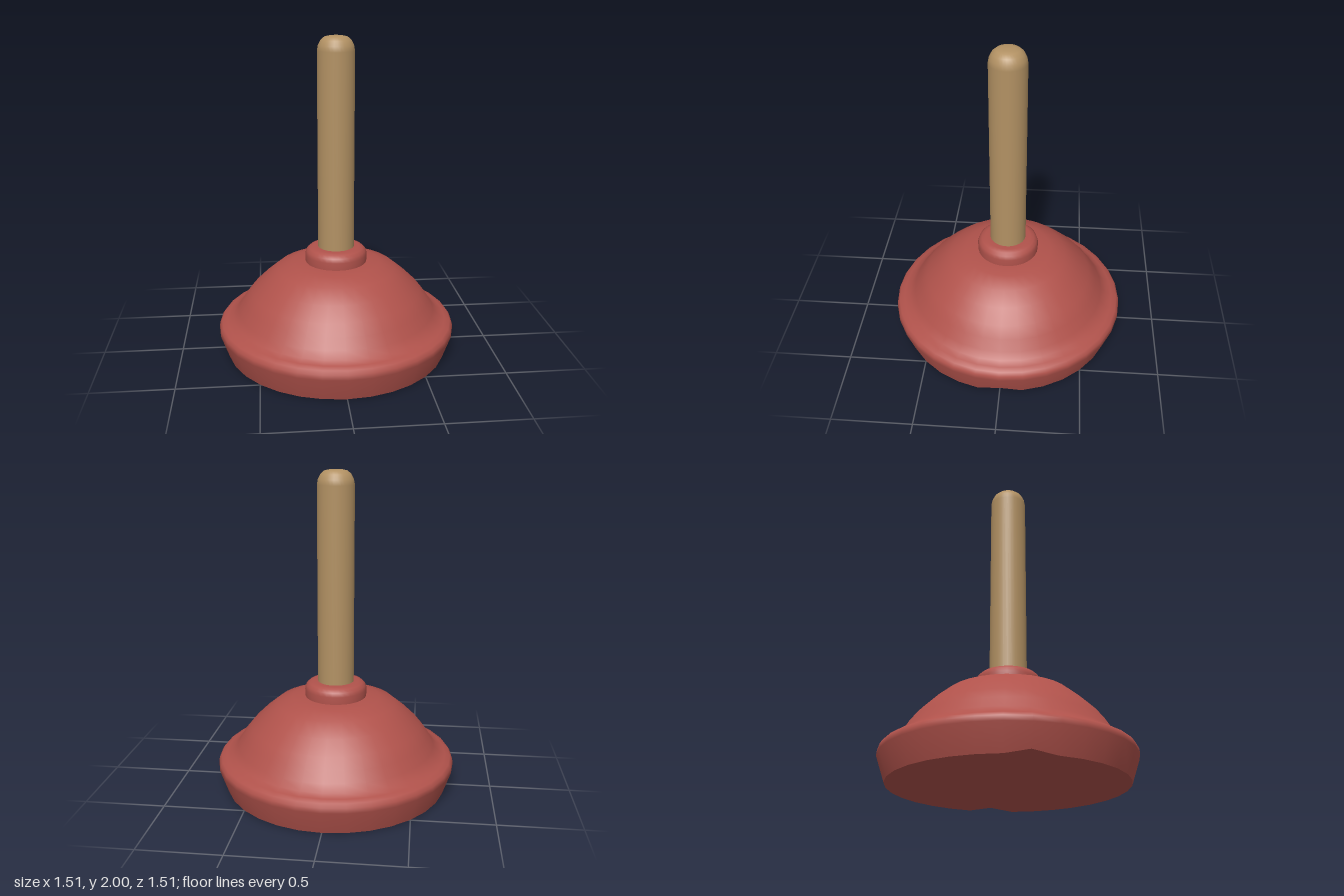
import * as THREE from 'three';

const SEGMENTS = 32;
const BASE_RADIUS = 0.705;

const rubber = new THREE.MeshStandardMaterial({ color: 0xb0524b, side: THREE.DoubleSide });
const wood = new THREE.MeshStandardMaterial({ color: 0xb29163 });

// Smooth surface of revolution from [radius, height] pairs, listed from bottom to top
function turned(name, profile, material) {
  const points = profile.map(([r, y]) => new THREE.Vector2(r, y));
  const mesh = new THREE.Mesh(new THREE.LatheGeometry(points, SEGMENTS), material);
  mesh.name = name;
  return mesh;
}

// Raises the base slightly at its centre and at the two side points of its edge
function notchBase(geometry) {
  const p = geometry.attributes.position;
  for (let i = 0; i < p.count; i++) {
    if (p.getY(i) < 0.005 && Math.abs(p.getZ(i)) < 0.01) p.setY(i, 0.025);
  }
  geometry.computeBoundingSphere();
}

export function createModel() {
  const group = new THREE.Group();
  group.name = 'plunger';

  // Rubber cup: flared lip, rounded shoulder and dome
  const cup = turned('cup', [
    [BASE_RADIUS, 0], [0.757, 0.15], [0.753, 0.18], [0.738, 0.202], [0.705, 0.213],
    [0.667, 0.23], [0.63, 0.27], [0.59, 0.335], [0.54, 0.397], [0.46, 0.475],
    [0.375, 0.545], [0.28, 0.579], [0.19, 0.588], [0.1, 0.59],
  ], rubber);
  notchBase(cup.geometry);
  group.add(cup);

  // Underside of the cup
  const baseGeometry = new THREE.CircleGeometry(BASE_RADIUS, SEGMENTS).rotateX(Math.PI / 2);
  notchBase(baseGeometry);
  baseGeometry.computeVertexNormals();
  const base = new THREE.Mesh(baseGeometry, rubber);
  base.name = 'cupBase';
  group.add(base);

  // Collar gripping the handle
  group.add(turned('collar', [
    [0.194, 0.58], [0.196, 0.635], [0.188, 0.66], [0.17, 0.677], [0.145, 0.685], [0.1, 0.685],
  ], rubber));

  // Handle with a rounded end
  group.add(turned('handle', [
    [0.114, 0.6], [0.114, 1.91], [0.108, 1.942], [0.093, 1.972],
    [0.07, 1.992], [0.04, 1.999], [0, 2],
  ], wood));

  return group;
}
